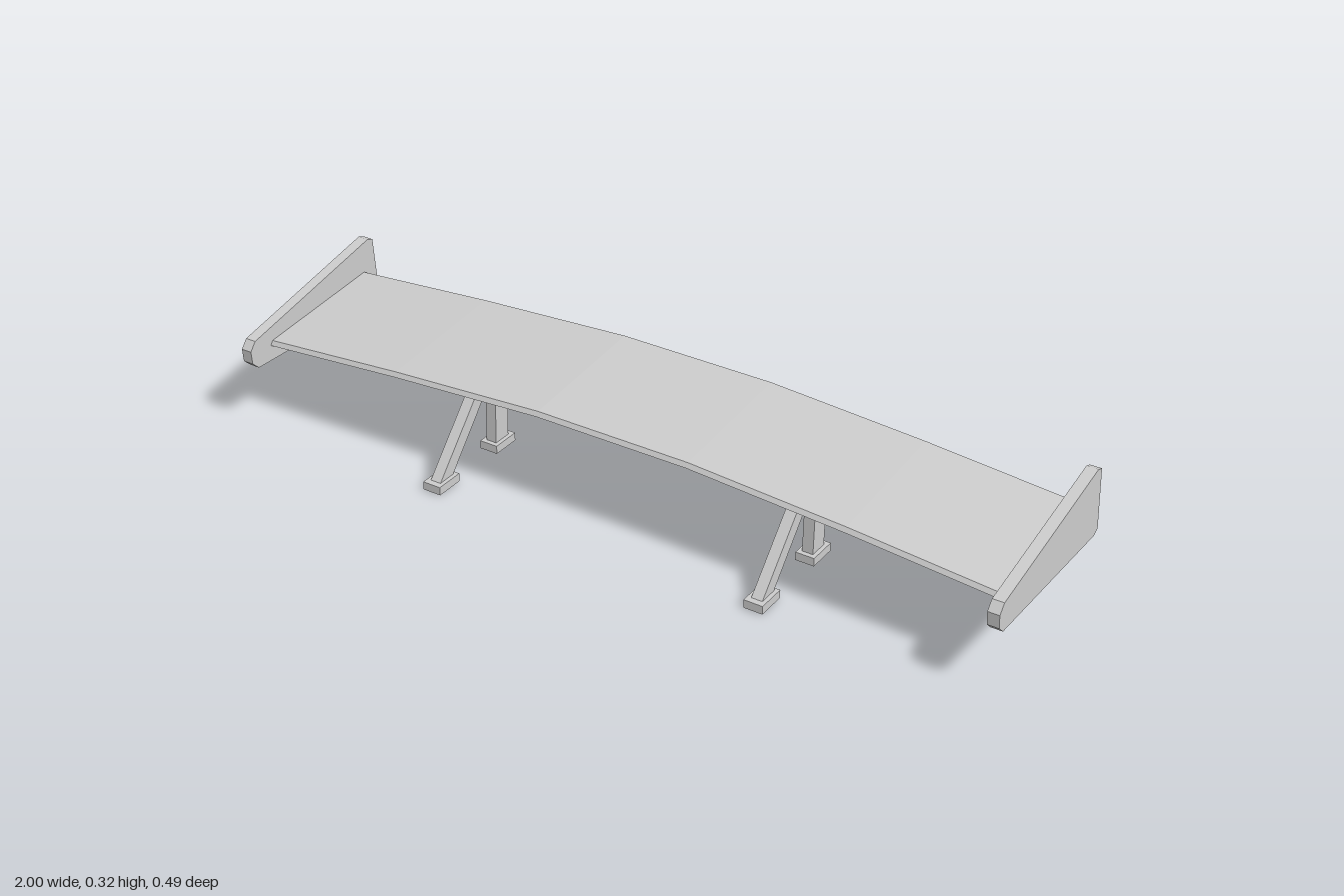
import * as THREE from 'three';

const material = new THREE.MeshStandardMaterial({ color: 0xcccccc, flatShading: true });

// Extrudes a side profile of [z, y] points across x, centred on the given x
function sidePart(name, profile, x, width) {
  const shape = new THREE.Shape(profile.map(([z, y]) => new THREE.Vector2(-z, y)));
  const geometry = new THREE.ExtrudeGeometry(shape, { depth: width, bevelEnabled: false });
  geometry.rotateY(Math.PI / 2).translate(x - width / 2, 0, 0);
  const mesh = new THREE.Mesh(geometry, material);
  mesh.name = name;
  return mesh;
}

// Wedge section lofted through stations that sag and sweep forward at the tips
function createWing() {
  const section = [[0.157, 0.246], [0.15, 0.257], [-0.203, 0.288], [-0.2, 0.247]];
  const stations = [[-0.985, 0.046], [-0.6, 0.02], [-0.2, 0], [0.2, 0], [0.6, 0.02], [0.985, 0.046]];
  const rings = stations.map(([x, drop]) => section.map(([z, y]) => [x, y - drop, z + drop * 0.33]));
  const positions = [];
  const quad = (a, b, c, d) => positions.push(...a, ...b, ...c, ...a, ...c, ...d);
  for (let i = 0; i < rings.length - 1; i++) {
    for (let j = 0; j < 4; j++) {
      const k = (j + 1) % 4;
      quad(rings[i][j], rings[i + 1][j], rings[i + 1][k], rings[i][k]);
    }
  }
  // End caps
  const first = rings[0], last = rings[rings.length - 1];
  quad(first[0], first[1], first[2], first[3]);
  quad(last[3], last[2], last[1], last[0]);
  const geometry = new THREE.BufferGeometry();
  geometry.setAttribute('position', new THREE.Float32BufferAttribute(positions, 3));
  geometry.computeVertexNormals();
  const mesh = new THREE.Mesh(geometry, material);
  mesh.name = 'wing';
  return mesh;
}

// A raked front strut and an upright rear strut, each on a foot
function createSupport(name, x) {
  const support = new THREE.Group();
  support.name = name;
  support.add(
    sidePart('frontStrut', [[0.226, 0.02], [0.177, 0.02], [0.003, 0.217], [0.048, 0.217]], x, 0.028),
    sidePart('rearStrut', [[0.004, 0.02], [-0.045, 0.02], [-0.05, 0.218], [-0.001, 0.218]], x, 0.028),
    sidePart('frontFoot', [[0.239, 0.002], [0.164, 0.002], [0.164, 0.023], [0.239, 0.023]], x, 0.048),
    sidePart('rearFoot', [[0.016, 0], [-0.059, 0], [-0.059, 0.021], [0.016, 0.021]], x, 0.048)
  );
  return support;
}

export function createModel() {
  const model = new THREE.Group();
  model.name = 'rearWing';
  model.add(createWing());

  // Tapered end plates with clipped corners
  const plate = [[0.243, 0.216], [0.225, 0.237], [-0.209, 0.325], [-0.228, 0.318],
    [-0.242, 0.158], [-0.225, 0.148], [0.22, 0.163], [0.24, 0.182]];
  model.add(sidePart('leftEndPlate', plate, 0.986, 0.028));
  model.add(sidePart('rightEndPlate', plate, -0.986, 0.028));

  model.add(createSupport('leftSupport', 0.425));
  model.add(createSupport('rightSupport', -0.446));
  return model;
}
